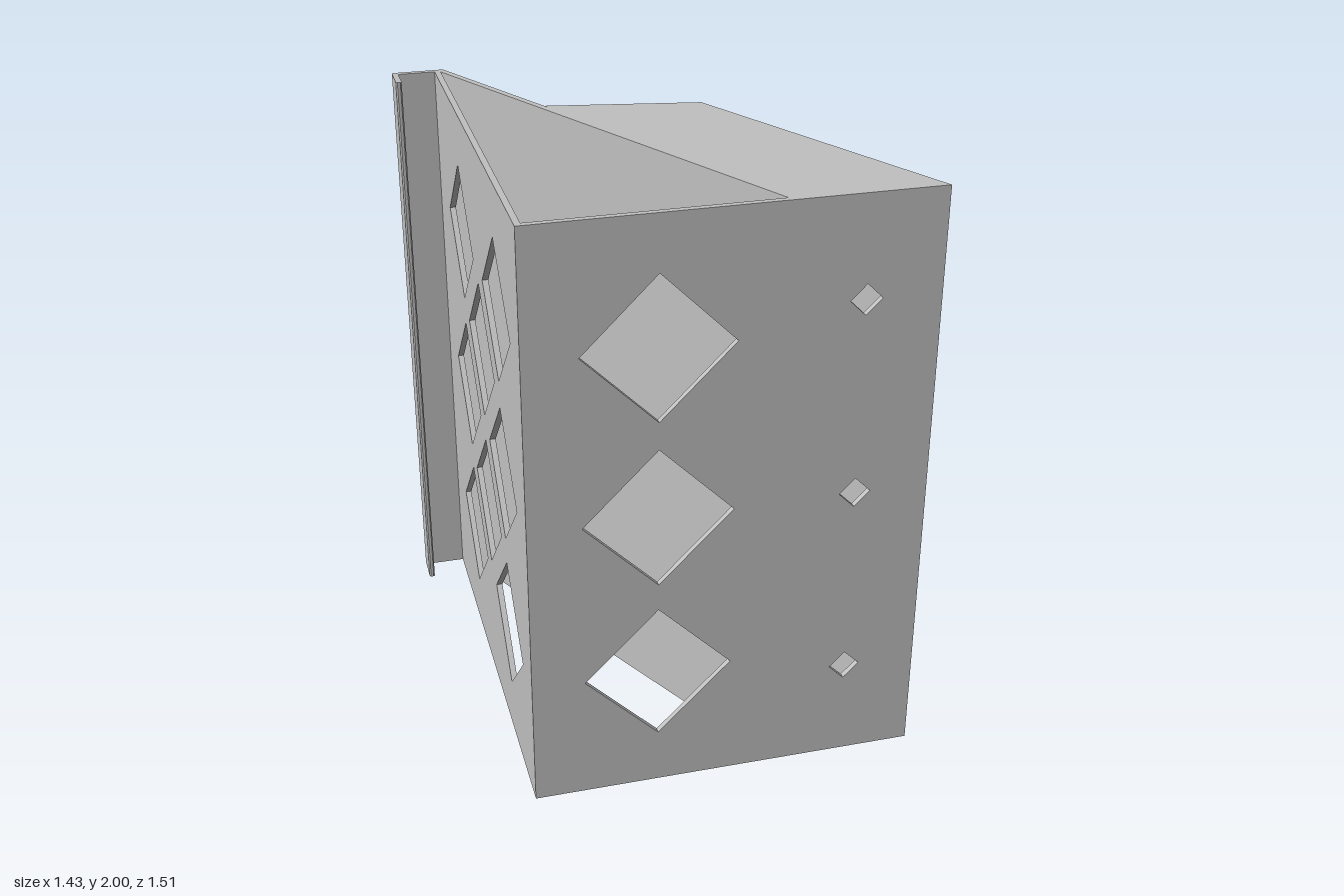
import * as THREE from 'three';

const H = 2;      // full height
const T = 0.02;   // wall thickness

// Vertical prism from a plan outline of [x, z] points
function prism(points, y0, height) {
  const shape = new THREE.Shape(points.map(([x, z]) => new THREE.Vector2(x, -z)));
  const geo = new THREE.ExtrudeGeometry(shape, { depth: height, bevelEnabled: false });
  return geo.rotateX(-Math.PI / 2).translate(0, y0, 0);
}

// Upright panel from u0 to u1 with diamond cut-outs [u, y, halfSize]
function panel(u0, u1, diamonds) {
  const shape = new THREE.Shape([[u0, 0], [u1, 0], [u1, H], [u0, H]].map(p => new THREE.Vector2(...p)));
  for (const [u, y, r] of diamonds) {
    shape.holes.push(new THREE.Path([[u, y - r], [u - r, y], [u, y + r], [u + r, y]]
      .map(p => new THREE.Vector2(...p))));
  }
  return new THREE.ExtrudeGeometry(shape, { depth: T, bevelEnabled: false });
}

export function createModel() {
  const group = new THREE.Group();
  const grey = new THREE.MeshStandardMaterial({ color: 0xc0c0c0 });
  grey.name = 'grey';
  const add = (name, geo) => {
    const mesh = new THREE.Mesh(geo, grey);
    mesh.name = name;
    group.add(mesh);
  };

  const rows = [0.43, 1.003, 1.576];
  const R = 0.24;

  // Front panel: a column of large windows and one peephole per compartment
  const frontHoles = rows.map(y => [-0.16, y, R]);
  for (const y of [0.343, 1.003, 1.663]) frontHoles.push([0.474, y, 0.051]);
  add('frontPanel', panel(-0.572, 0.7, frontHoles).translate(0, 0, 0.755 - T));

  // Side panel: staggered diamond lattice, columns of three, two, three
  const sideHoles = [];
  for (const z of [0.367, -0.287]) for (const y of rows) sideHoles.push([z, y, R]);
  for (const y of [0.716, 1.29]) sideHoles.push([0.04, y, R]);
  add('sidePanel', panel(-0.74, 0.74, sideHoles).rotateY(-Math.PI / 2).translate(-0.552, 0, 0));

  // Slanted inner wall continuing into the rear hook
  add('slantedWallAndHook', prism([
    [-0.54, -0.755], [0.251, 0.74], [0.226, 0.74], [-0.555, -0.735],
    [-0.698, -0.735], [-0.698, -0.645], [-0.703, -0.64], [-0.713, -0.64], [-0.718, -0.645],
    [-0.718, -0.75], [-0.713, -0.755],
  ], 0, H));

  // Outer wall parallel to the slanted wall
  add('outerWall', prism([[0.228, -0.173], [0.715, 0.755], [0.692, 0.755], [0.204, -0.177]], 0, H));

  // Shelves, with the first and last closing the bottom and top
  for (let i = 0; i < 4; i++) {
    add('shelf', prism([[-0.28, -0.265], [0.226, -0.173], [0.708, 0.745], [0.235, 0.745]],
      i * (H - 0.022) / 3, 0.022));
  }
  return group;
}
